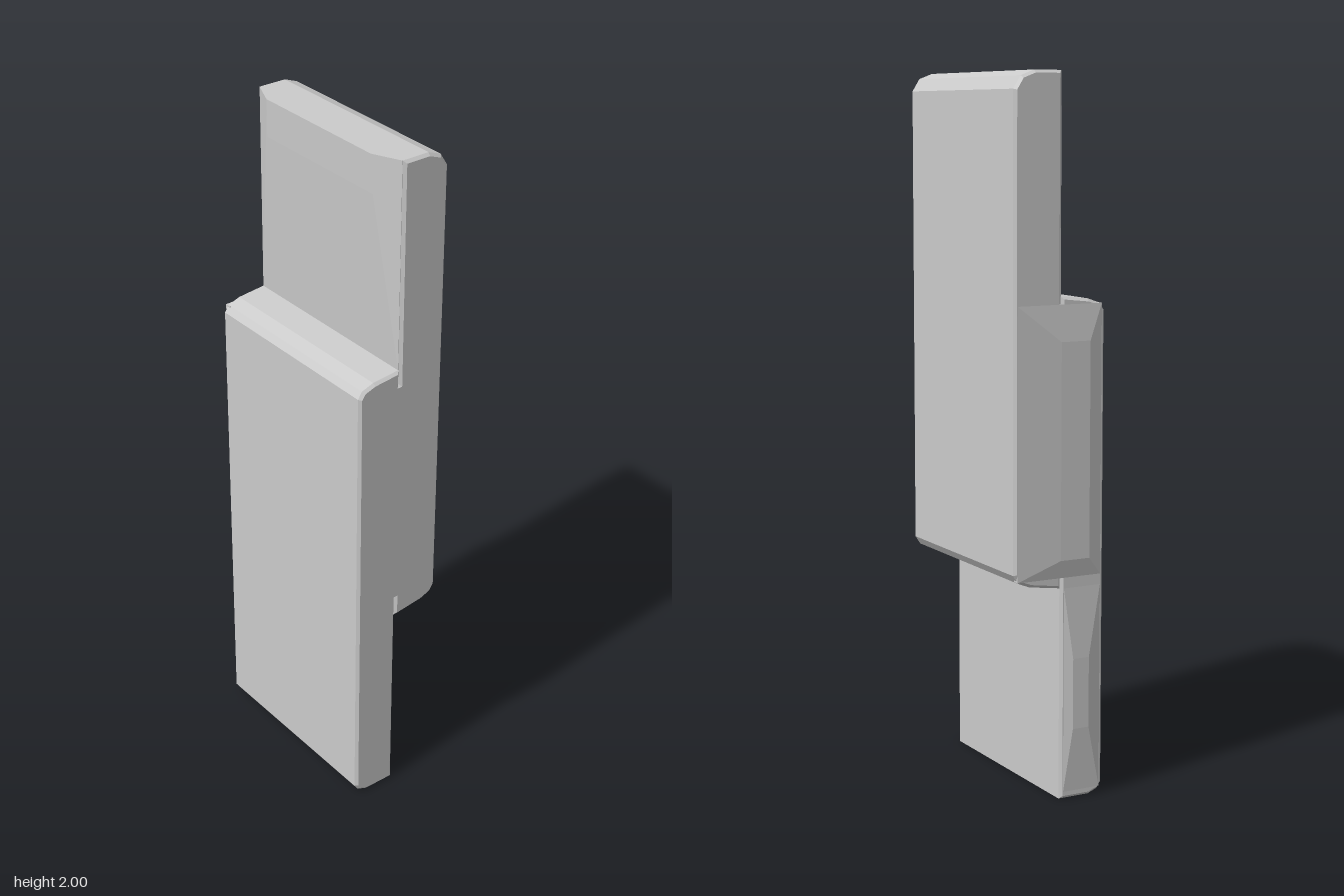
import * as THREE from 'three';
import { ConvexGeometry } from 'three/addons/geometries/ConvexGeometry.js';

const WIDTH = 0.618, CENTRE_X = 0.004, BEVEL = 0.008;
const LEFT = CENTRE_X + WIDTH / 2, RIGHT = CENTRE_X - WIDTH / 2;
const material = new THREE.MeshStandardMaterial({ color: 0xcccccc, flatShading: true });

function addMesh(group, name, geometry) {
  const mesh = new THREE.Mesh(geometry, material);
  mesh.name = name;
  group.add(mesh);
}

// Side profile given as [z, y] points, extruded across the width with chamfered sides
function slab(profile) {
  const depth = WIDTH - 2 * BEVEL;
  const shape = new THREE.Shape(profile.map(([z, y]) => new THREE.Vector2(z, y)));
  const geometry = new THREE.ExtrudeGeometry(shape, {
    depth, bevelThickness: BEVEL, bevelSize: BEVEL, bevelOffset: -BEVEL, bevelSegments: 1,
  });
  return geometry.translate(0, 0, -depth / 2).rotateY(-Math.PI / 2).translate(CENTRE_X, 0, 0);
}

// Convex solid from [x, y, z] corners
function solid(points) {
  return new ConvexGeometry(points.map((p) => new THREE.Vector3(...p)));
}

// Shallow raised pad on the right side: base rectangle tapering to a smaller top
function sidePad(base, top, height) {
  const corners = ([y0, y1, z0, z1], x) => [[x, y0, z0], [x, y1, z0], [x, y1, z1], [x, y0, z1]];
  return solid([...corners(base, RIGHT + 0.02), ...corners(base, RIGHT), ...corners(top, RIGHT - height)]);
}

export function createModel() {
  const group = new THREE.Group();
  group.name = 'slidingHandset';

  // Front slab, with a hidden tongue reaching into the back slab
  addMesh(group, 'frontSlab', slab([
    [0.005, 0], [0.1, 0], [0.128, 0.012], [0.14, 0.03],
    [0.14, 1.36], [0.127, 1.38], [0.09, 1.393], [0.005, 1.402],
    [0.005, 1.36], [-0.03, 1.36], [-0.03, 0.66], [0.005, 0.66],
  ]));

  // Back slab, raised behind the front one
  addMesh(group, 'backSlab', slab([
    [0.005, 0.6], [0.005, 2], [-0.078, 2], [-0.118, 1.985], [-0.14, 1.95],
    [-0.14, 0.65], [-0.125, 0.627], [-0.09, 0.613],
  ]));

  // Tapered panel thickening towards the top of the back slab
  const panel = [];
  for (const side of [-1, 1]) {
    const edge = side > 0 ? LEFT - 0.008 : RIGHT + 0.008;
    for (const [half, y, z] of [[0.22, 2, 0.042], [0.225, 1.89, 0.038]]) {
      panel.push([CENTRE_X + side * half, y, z]);
    }
    for (const y of [1.4, 2]) panel.push([edge, y, 0.006], [edge, y, -0.01]);
  }
  addMesh(group, 'taperedPanel', solid(panel));

  // Shallow swellings along the right side
  addMesh(group, 'upperSidePad', sidePad([0.63, 1.38, -0.13, 0.13], [0.68, 1.28, 0, 0.09], 0.009));
  addMesh(group, 'lowerSidePad', sidePad([0.02, 0.6, 0.015, 0.13], [0.2, 0.4, 0.04, 0.09], 0.01));

  return group;
}
